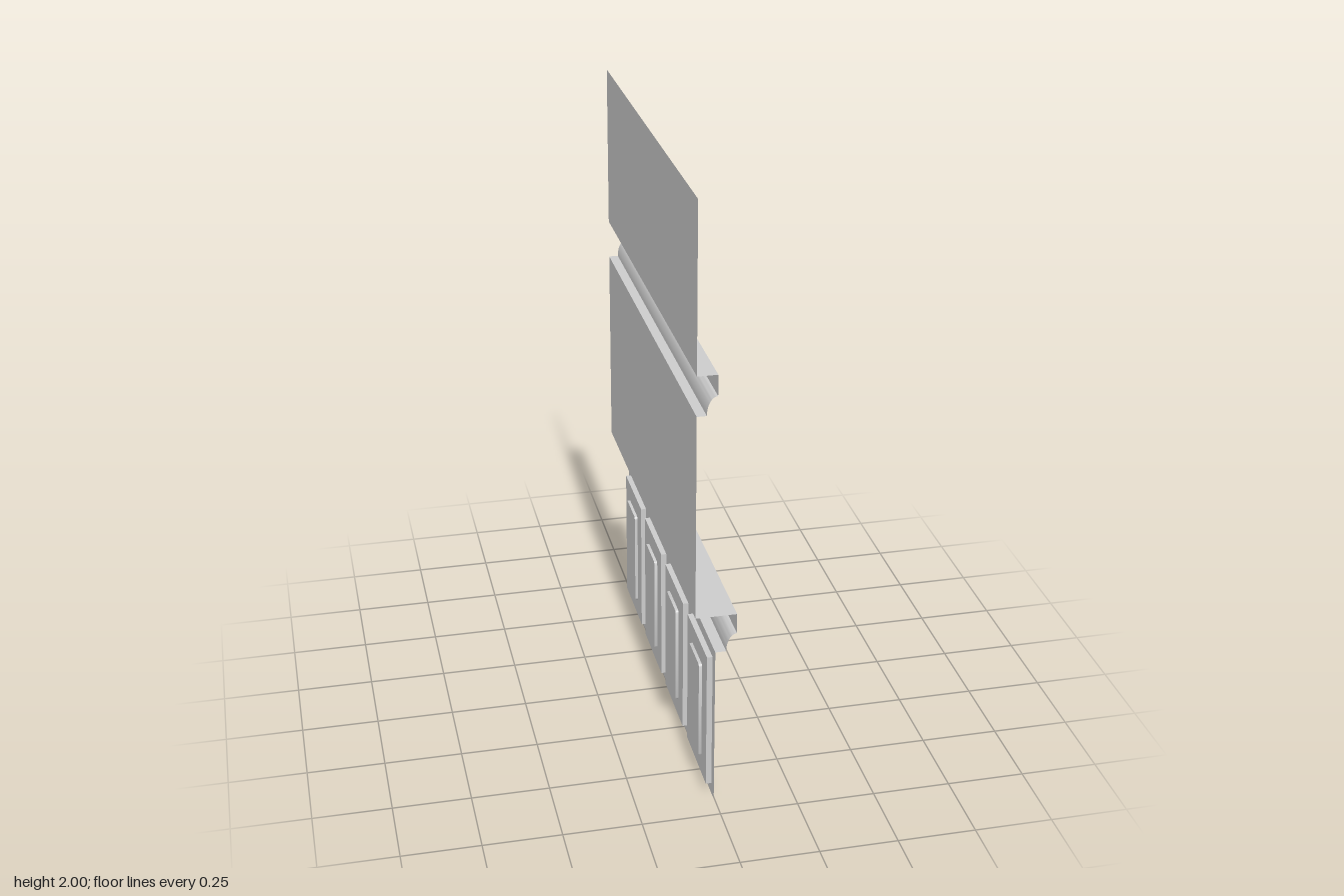
import * as THREE from 'three';
import { toCreasedNormals } from 'three/addons/utils/BufferGeometryUtils.js';

const material = new THREE.MeshStandardMaterial({ color: 0xcccccc, side: THREE.DoubleSide });
const HALF = 0.667;                       // half the wall's length along z
const WALL = -0.065, DADO = -0.002, LIP = 0.065; // x of upper wall, wainscot, ledge edge

// Sweep a 2D line along z into an open strip, smooth only on shallow bends
function strip(points, z0, z1) {
  const pos = [], index = [];
  points.forEach((p, i) => {
    pos.push(p.x, p.y, z0, p.x, p.y, z1);
    if (i) {
      const a = 2 * (i - 1), b = 2 * i;
      index.push(a + 1, b + 1, b, a + 1, b, a);
    }
  });
  const g = new THREE.BufferGeometry();
  g.setAttribute('position', new THREE.Float32BufferAttribute(pos, 3));
  g.setIndex(index);
  return toCreasedNormals(g, 0.5);
}

// Rectangle path with optional rounded corners, counter-clockwise
function rect(Type, cx, cy, w, h, r = 0) {
  const s = new Type(), x0 = cx - w / 2, x1 = cx + w / 2, y0 = cy - h / 2, y1 = cy + h / 2;
  if (!r) return s.setFromPoints([[x0, y0], [x1, y0], [x1, y1], [x0, y1], [x0, y0]]
    .map(([x, y]) => new THREE.Vector2(x, y)));
  s.absarc(x1 - r, y0 + r, r, -Math.PI / 2, 0);
  s.absarc(x1 - r, y1 - r, r, 0, Math.PI / 2);
  s.absarc(x0 + r, y1 - r, r, Math.PI / 2, Math.PI);
  s.absarc(x0 + r, y0 + r, r, Math.PI, Math.PI * 1.5);
  s.closePath();
  return s;
}

// Ledge, fascia, cove and bottom step of a moulding
function mouldingProfile(backX, frontX, footX, top) {
  const pts = [new THREE.Vector2(backX, top), new THREE.Vector2(frontX, top)];
  const depth = 0.033, height = 0.06;
  for (let i = 0; i <= 12; i++) {
    const a = (i / 12) * Math.PI / 2;
    pts.push(new THREE.Vector2(frontX - depth * Math.sin(a), top - 0.067 - height * (1 - Math.cos(a))));
  }
  pts.push(new THREE.Vector2(footX, top - 0.127));
  return pts;
}

export function createModel() {
  const model = new THREE.Group();
  const add = (name, geometry, parent = model) => {
    const m = new THREE.Mesh(geometry, material);
    m.name = name;
    parent.add(m);
    return m;
  };
  const wall = (name, x, top, bottom) =>
    add(name, strip([new THREE.Vector2(x, top), new THREE.Vector2(x, bottom)], -HALF, HALF));

  // Plain walls and the two mouldings
  wall('upperWall', WALL, 2, 1.467);
  add('pictureRail', strip(mouldingProfile(WALL, DADO, WALL, 1.467), -HALF, HALF));
  wall('middleWall', WALL, 1.34, 0.667);
  add('chairRail', strip(mouldingProfile(WALL, LIP, DADO, 0.667), -HALF, HALF));

  // Wainscot drawn in the xy plane, then turned to face +x
  const wainscot = new THREE.Group();
  wainscot.name = 'wainscot';
  wainscot.rotation.y = Math.PI / 2;
  model.add(wainscot);
  const face = rect(THREE.Shape, 0, 0.27, HALF * 2, 0.54);
  const steps = [DADO, -0.02, -0.03];     // depths of frame, recess and sunk centre

  for (let i = 0; i < 4; i++) {
    const c = (i - 1.5) * 0.3333;
    const outer = [c, 0.27, 0.267, 0.467], inner = [c, 0.27, 0.14, 0.34, 0.01];
    face.holes.push(rect(THREE.Path, ...outer));

    const panel = new THREE.Group();
    panel.name = 'recessedPanel' + (i + 1);
    wainscot.add(panel);
    const floor = rect(THREE.Shape, ...outer), centre = rect(THREE.Shape, ...inner);
    add('outerRecessSides', strip(floor.getPoints(), steps[1], steps[0]), panel);
    add('innerRecessSides', strip(centre.getPoints(4), steps[2], steps[1]), panel);
    floor.holes.push(rect(THREE.Path, ...inner));
    add('recessFloor', new THREE.ShapeGeometry(floor, 4), panel).position.z = steps[1];
    add('panelCentre', new THREE.ShapeGeometry(centre, 4), panel).position.z = steps[2];
  }
  add('wainscotFrame', new THREE.ShapeGeometry(face), wainscot).position.z = steps[0];

  return model;
}
